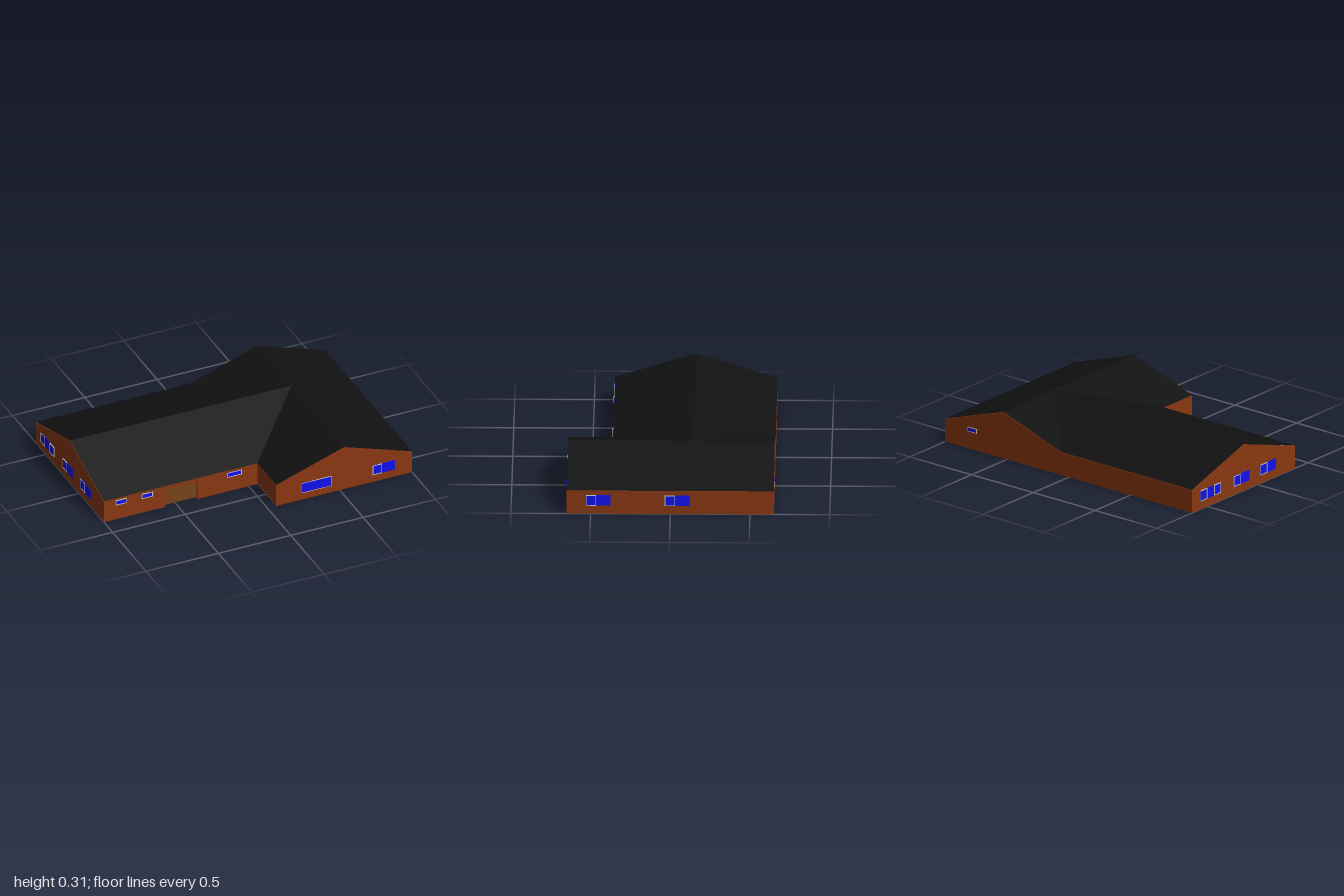
import * as THREE from 'three';

const T = 0.015;                 // wall thickness
const EAVE = 0.155, RIDGE = 0.312;
const X0 = -1, X1 = 0.06, XR = 0.53, X2 = 1;          // west end, inner corner, ridge, east end
const Z0 = -0.65, ZR = -0.14, Z1 = 0.37, Z2 = 0.65;   // back, ridge, inner corner, front

const mat = (color, side = THREE.FrontSide) =>
  new THREE.MeshStandardMaterial({ color, side, flatShading: true });
const BRICK = mat(0x8a3812), ROOF = mat(0x111111, THREE.DoubleSide);
const GLASS = mat(0x1010f0), FRAME = mat(0xe8e8e8);
const GREEN = mat(0x1a6a14), PLASTER = mat(0xcccccc);

function add(parent, name, geometry, material) {
  const mesh = new THREE.Mesh(geometry, material);
  mesh.name = name;
  parent.add(mesh);
  return mesh;
}

// Box given by its minimum and maximum corners
function box(parent, name, a, b, material) {
  const g = new THREE.BoxGeometry(b[0] - a[0], b[1] - a[1], b[2] - a[2]);
  g.translate((a[0] + b[0]) / 2, (a[1] + b[1]) / 2, (a[2] + b[2]) / 2);
  return add(parent, name, g, material);
}

// Group whose local +z looks out of a facade lying at the given distance from the centre
function facade(parent, name, angle, distance) {
  const g = new THREE.Group();
  g.name = name;
  g.rotation.y = angle;
  const dir = new THREE.Vector3(0, 0, distance).applyAxisAngle(new THREE.Vector3(0, 1, 0), angle);
  g.position.copy(dir);
  parent.add(g);
  return g;
}

function wall(parent, points) {
  const shape = new THREE.Shape(points.map(([x, y]) => new THREE.Vector2(x, y)));
  const g = new THREE.ExtrudeGeometry(shape, { depth: T, bevelEnabled: false });
  g.translate(0, 0, -T);
  add(parent, 'outerWall', g, BRICK);
}

// Glass from u0 to u1, with a raised frame around each listed sash
function windowUnit(parent, u0, u1, y0, y1, sashes, w = 0.004) {
  const g = new THREE.Group();
  g.name = 'window';
  parent.add(g);
  box(g, 'pane', [u0, y0, -T - 0.003], [u1, y1, 0.003], GLASS);
  for (const [a, b] of sashes) {
    for (const x of [a, b - w]) box(g, 'frameSide', [x, y0, -T - 0.004], [x + w, y1, 0.005], FRAME);
    for (const y of [y0, y1 - w]) box(g, 'frameRail', [a, y, -T - 0.004], [b, y + w, 0.005], FRAME);
  }
}

function roof(parent) {
  const V = (x, y, z) => [x, y, z];
  const valley = V(XR, RIDGE, ZR);
  const slopes = {
    westWingFrontSlope: [V(X0, EAVE, Z1), V(X1, EAVE, Z1), valley, V(X0, RIDGE, ZR)],
    westWingBackSlope: [V(X0, RIDGE, ZR), valley, V(X1, EAVE, Z0), V(X0, EAVE, Z0)],
    eastWingOuterSlope: [V(X2, EAVE, Z2), V(X2, EAVE, Z0), V(XR, RIDGE, Z0), V(XR, RIDGE, Z2)],
    eastWingFrontInnerSlope: [V(X1, EAVE, Z2), V(XR, RIDGE, Z2), valley, V(X1, EAVE, Z1)],
    eastWingBackInnerSlope: [V(X1, EAVE, Z0), valley, V(XR, RIDGE, Z0)],
  };
  for (const [name, pts] of Object.entries(slopes)) {
    const g = new THREE.BufferGeometry();
    g.setAttribute('position', new THREE.Float32BufferAttribute(pts.flat(), 3));
    g.setIndex(pts.length === 4 ? [0, 1, 2, 0, 2, 3] : [0, 1, 2]);
    g.computeVertexNormals();
    add(parent, name, g, ROOF);
  }
}

export function createModel() {
  const house = new THREE.Group();
  house.name = 'house';
  const E = EAVE - 0.002, R = RIDGE - 0.003;

  roof(house);

  // East wing front gable
  const front = facade(house, 'frontGable', 0, Z2);
  wall(front, [[X1, 0], [X2, 0], [X2, E], [XR, R], [X1, E]]);
  windowUnit(front, 0.235, 0.44, 0.05, 0.122, [[0.235, 0.44]], 0.002);
  windowUnit(front, 0.725, 0.88, 0.053, 0.122, [[0.725, 0.79]]);

  // West wing front with the entrance opening
  const entry = facade(house, 'entranceFront', 0, Z1);
  wall(entry, [[X0, 0], [-0.58, 0], [-0.58, 0.13], [-0.355, 0.13], [-0.355, 0],
    [X1, 0], [X1, E], [X0, E]]);
  for (const [a, b] of [[-0.92, -0.845], [-0.74, -0.665], [-0.15, -0.05]])
    windowUnit(entry, a, b, 0.105, 0.14, [[a, b]]);

  // Short return wall between the two fronts
  const side = facade(house, 'returnWall', -Math.PI / 2, -X1);
  wall(side, [[Z1 - T, 0], [Z2 - T, 0], [Z2 - T, E], [Z1 - T, E]]);

  // East side (local x runs towards the back)
  const east = facade(house, 'eastSide', Math.PI / 2, X2);
  wall(east, [[-Z2 + T, 0], [-Z0 - T, 0], [-Z0 - T, E], [-Z2 + T, E]]);
  for (const u of [-0.53, -0.035]) windowUnit(east, u, u + 0.155, 0.055, 0.125, [[u, u + 0.065]]);

  // Back (local x runs towards the west)
  const back = facade(house, 'backSide', Math.PI, -Z0);
  wall(back, [[-X2, 0], [-X0, 0], [-X0, E], [-X1, E], [-XR, R], [-X2, E]]);
  windowUnit(back, -0.815, -0.74, 0.115, 0.145, [[-0.815, -0.74]]);

  // West end gable (local x runs towards the front)
  const west = facade(house, 'westGable', -Math.PI / 2, -X0);
  wall(west, [[Z0 + T, 0], [Z1 - T, 0], [Z1 - T, E], [ZR, R], [Z0 + T, E]]);
  windowUnit(west, -0.57, -0.37, 0.055, 0.125, [[-0.57, -0.505], [-0.435, -0.37]]);
  for (const u of [-0.24, 0.025]) windowUnit(west, u, u + 0.155, 0.055, 0.125, [[u, u + 0.065]]);

  // Room floors: x from, x to, z from, z to, colour
  const floors = {
    studyFloor: [0.61, X2, Z0, -0.24, 0x333333],
    bedroomFloor: [0.61, X2, -0.24, Z2, 0x0a5a90],
    loungeFloor: [X1, 0.61, 0.12, Z2, 0x999999],
    livingFloor: [X1, 0.61, -0.08, 0.12, 0x8a5238],
    diningFloor: [-0.22, 0.61, Z0, -0.08, 0x8a5238],
    kitchenFloor: [-0.22, X1, -0.08, Z1, 0x3f9f88],
    hallFloor: [-0.59, -0.22, Z0, Z1, 0x6a3c18],
    backRoomFloor: [X0, -0.59, Z0, -0.3, 0x4c2a14],
    middleRoomFloor: [X0, -0.59, -0.3, -0.02, 0x553016],
    pinkRoomFloor: [X0, -0.59, -0.02, Z1, 0xa0607a],
  };
  for (const [name, [xa, xb, za, zb, color]] of Object.entries(floors)) {
    const inset = (v, edge) => (Math.abs(v) === edge ? v - Math.sign(v) * T : v);
    box(house, name, [inset(xa, 1), 0.004, inset(za, 0.65)],
      [inset(xb, 1), 0.01, zb === Z1 ? zb - T : inset(zb, 0.65)], mat(color));
  }

  // Inner partitions with door gaps: name, x from, x to, z from, z to, colour
  const h = T / 2;
  const partitions = [
    ['loungePartition', 0.61 - h, 0.61 + h, -0.1, Z2 - T, 0xd8c860],
    ['diningPartition', 0.61 - h, 0.61 + h, Z0 + T, -0.24, 0xc8c070],
    ['bedroomPartition', 0.6, X2 - T, -0.24 - h, -0.24 + h, 0x9fc040],
    ['kitchenBackPartition', -0.22, 0, -0.08 - h, -0.08 + h, 0x9fd8d0],
    ['kitchenSidePartition', X1 - h, X1 + h, -0.03, Z1 - T, 0x9fd8d0],
    ['backRoomPartition', X0 + T, -0.6, -0.3 - h, -0.3 + h, 0x3a2010],
    ['pinkRoomPartition', X0 + T, -0.6, -0.02 - h, -0.02 + h, 0xc8a8b4],
  ];
  for (const [name, xa, xb, za, zb, color] of partitions)
    box(house, name, [xa, 0, za], [xb, 0.145, zb], mat(color));

  // Hall walls: green below, pale plaster above
  const hallWalls = [
    [-0.228, -0.212, Z0 + T, Z1 - T],
    [-0.598, -0.582, Z0 + T, -0.1],
    [-0.598, -0.582, -0.02, Z1 - T],
    [-0.582, -0.228, Z0 + T, Z0 + 2 * T],
  ];
  for (const [xa, xb, za, zb] of hallWalls) {
    box(house, 'hallWainscot', [xa, 0, za], [xb, 0.08, zb], GREEN);
    box(house, 'hallUpperWall', [xa, 0.08, za], [xb, 0.15, zb], PLASTER);
  }
  return house;
}
